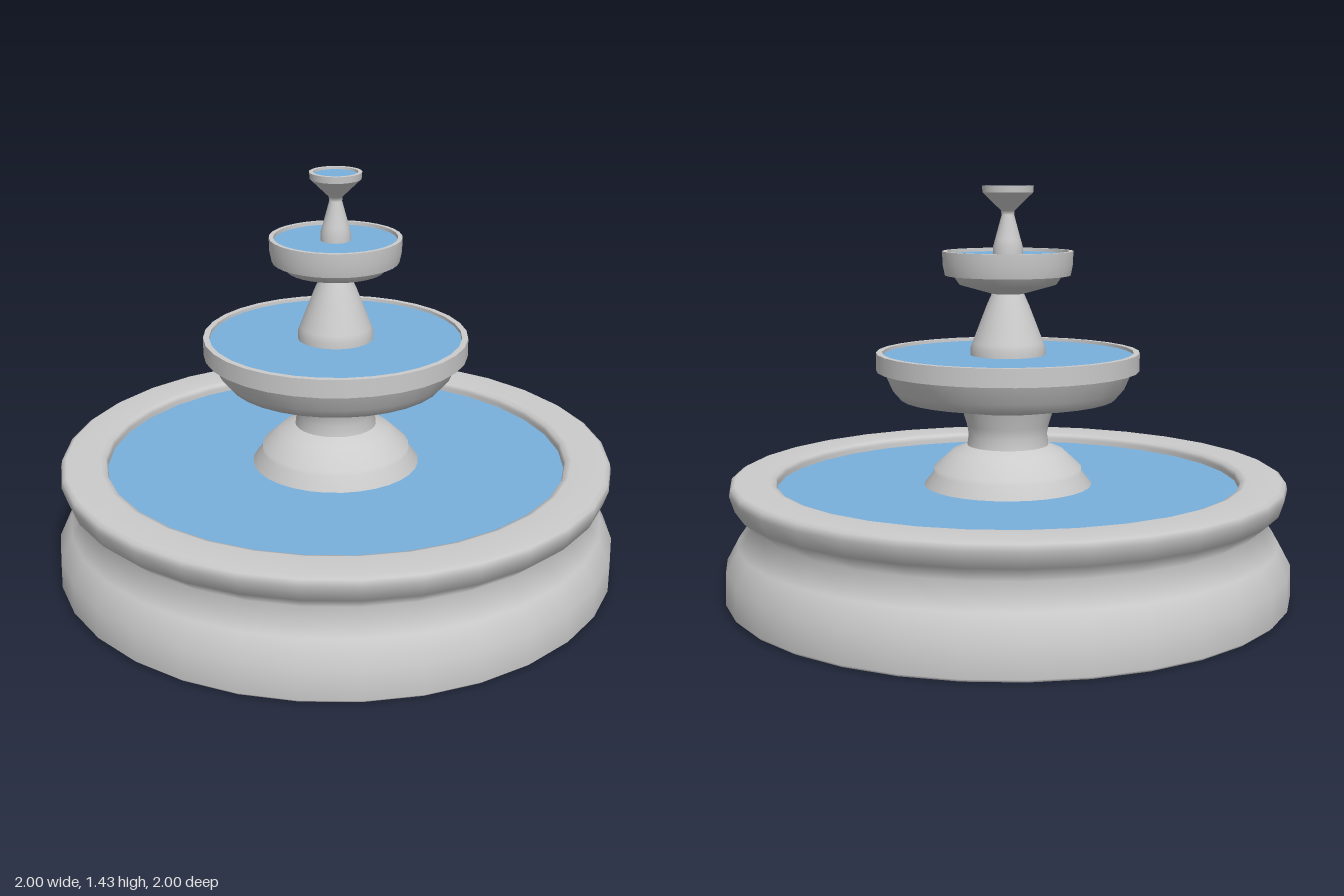
import * as THREE from 'three';
import { mergeGeometries } from 'three/addons/utils/BufferGeometryUtils.js';

const SIDES = 32;
const stone = new THREE.MeshStandardMaterial({ color: 0xcccccc });
const water = new THREE.MeshStandardMaterial({ color: 0x7ab0dd });

// Turned part from [radius, height, hard?] points; smooth except at hard points.
function turned(name, profile) {
  const pieces = [];
  let run = [];
  profile.forEach(([r, y, hard], i) => {
    run.push(new THREE.Vector2(r, y));
    if ((hard && i > 0) || i === profile.length - 1) {
      pieces.push(new THREE.LatheGeometry(run, SIDES));
      run = [new THREE.Vector2(r, y)];
    }
  });
  const mesh = new THREE.Mesh(mergeGeometries(pieces), stone);
  mesh.name = name;
  return mesh;
}

// Flat round water surface
function pond(name, radius, y) {
  const geo = new THREE.CircleGeometry(radius, SIDES).rotateX(-Math.PI / 2);
  const mesh = new THREE.Mesh(geo, water);
  mesh.name = name;
  mesh.position.y = y;
  return mesh;
}

export function createModel() {
  const fountain = new THREE.Group();
  fountain.name = 'fountain';
  fountain.add(
    // Ground basin with waisted wall and rounded rim
    turned('basin', [
      [0, 0], [0.99, 0, 1], [1, 0.01], [0.998, 0.12], [0.955, 0.2], [0.9, 0.28],
      [0.962, 0.335], [0.98, 0.39], [0.975, 0.413], [0.96, 0.422],
      [0.84, 0.422], [0.82, 0.415], [0.815, 0.4], [0.815, 0.36],
    ]),
    pond('basinWater', 0.816, 0.385),

    // Lower pedestal and large bowl
    turned('lowerPedestal', [
      [0.297, 0.36], [0.297, 0.385], [0.262, 0.43], [0.262, 0.446], [0.198, 0.505],
      [0.144, 0.527, 1], [0.139, 0.565], [0.145, 0.6], [0.162, 0.655],
    ]),
    turned('largeBowl', [
      [0.13, 0.645], [0.162, 0.655], [0.38, 0.695], [0.41, 0.73], [0.438, 0.795, 1], [0.463, 0.795, 1],
      [0.463, 0.858, 1], [0.442, 0.858, 1], [0.44, 0.83],
    ]),
    pond('largeBowlWater', 0.441, 0.847),

    // Upper pedestal and small bowl
    turned('upperPedestal', [
      [0.132, 0.84], [0.132, 0.87], [0.125, 0.89], [0.1, 0.955], [0.075, 1.02], [0.055, 1.065],
    ]),
    turned('smallBowl', [
      [0.05, 1.06], [0.17, 1.094], [0.192, 1.126, 1], [0.22, 1.126, 1], [0.228, 1.165],
      [0.229, 1.21, 1], [0.214, 1.21, 1], [0.212, 1.18],
    ]),
    pond('smallBowlWater', 0.213, 1.198),

    // Finial cup
    turned('finial', [
      [0.052, 1.19], [0.052, 1.225], [0.045, 1.25], [0.022, 1.335], [0.024, 1.35],
      [0.088, 1.412, 1], [0.09, 1.435, 1], [0.076, 1.435, 1], [0.074, 1.41],
    ]),
    pond('finialWater', 0.075, 1.427),
  );
  return fountain;
}
